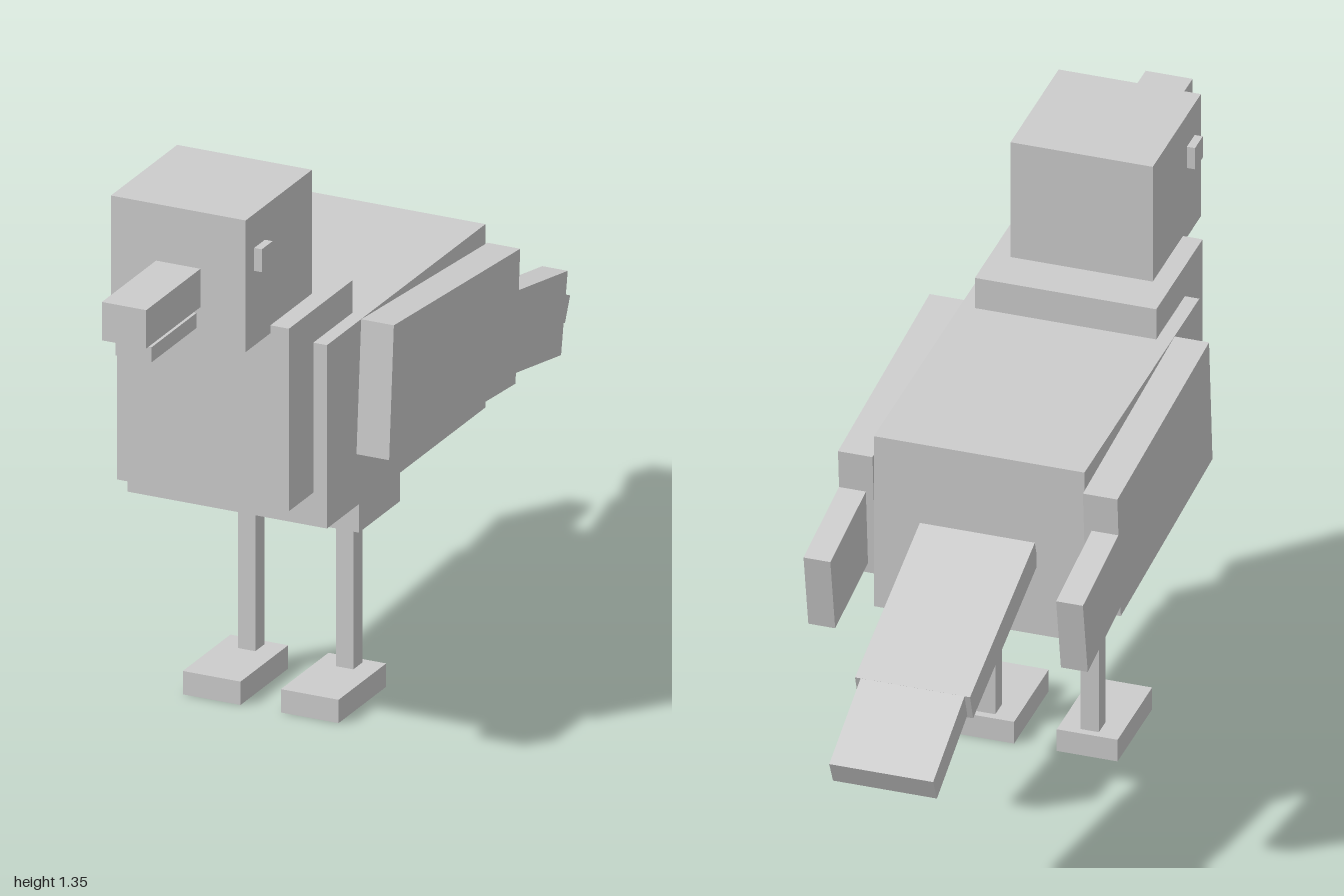
import * as THREE from 'three';

export function createModel() {
  const bird = new THREE.Group();
  bird.name = 'bird';
  const grey = new THREE.MeshStandardMaterial({ color: 0xcccccc });
  grey.name = 'light grey';

  // Box from its centre and size; droop (degrees) lowers its rear end
  function box(name, [x, y, z], [w, h, d], droop = 0) {
    const mesh = new THREE.Mesh(new THREE.BoxGeometry(w, h, d), grey);
    mesh.name = name;
    mesh.position.set(x, y, z);
    mesh.rotation.x = -THREE.MathUtils.degToRad(droop);
    bird.add(mesh);
  }

  // Torso
  box('body', [0, 0.758, 0.081], [0.494, 0.44, 0.798]);
  box('chest', [0, 0.837, 0.442], [0.426, 0.438, 0.321]);

  // Head and beak
  box('head', [0, 1.195, 0.56], [0.334, 0.316, 0.334]);
  box('upperBeak', [0, 1.171, 0.863], [0.11, 0.092, 0.274]);
  box('lowerBeak', [0, 1.091, 0.839], [0.09, 0.036, 0.226]);

  // Drooping two-part tail
  box('tailBase', [0, 0.676, -0.545], [0.27, 0.07, 0.473], 18);
  box('tailTip', [0, 0.558, -0.876], [0.244, 0.063, 0.24], 24.5);

  // Mirrored parts
  for (const [side, s] of [['left', 1], ['right', -1]]) {
    box(side + 'Eye', [s * 0.176, 1.244, 0.657], [0.02, 0.055, 0.054]);
    box(side + 'Wing', [s * 0.2875, 0.796, 0.0015], [0.081, 0.316, 0.638], 4.3);
    box(side + 'WingTip', [s * 0.2965, 0.717, -0.423], [0.063, 0.193, 0.26], 10);
    box(side + 'Thigh', [s * 0.1225, 0.477, 0.096], [0.131, 0.123, 0.208]);
    box(side + 'Shank', [s * 0.1215, 0.236, 0.113], [0.043, 0.36, 0.046]);
    box(side + 'Foot', [s * 0.1215, 0.028, 0.192], [0.143, 0.056, 0.24]);
  }
  return bird;
}
